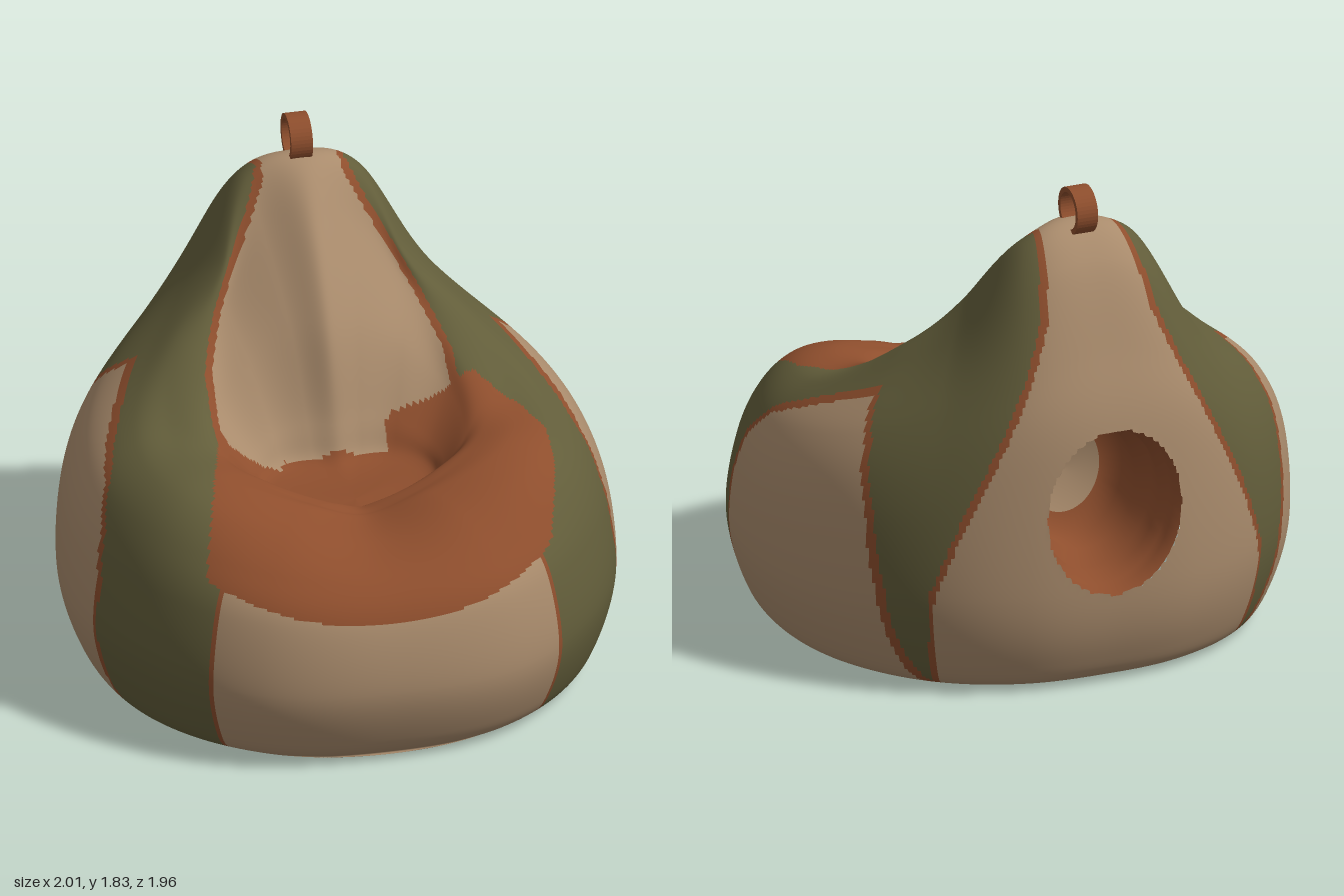
import * as THREE from 'three';

const flat = (name, color) => {
  const m = new THREE.MeshStandardMaterial({ color });
  m.name = name;
  return m;
};
const TAN = 0, GREEN = 1, RUST = 2;

// Meridian profiles [radius, height], front to back, at these angles:
// widest side, shoulder, rim (5th point), then down the inside
const angles = [0, 30, 60, 90, 120, 142, 162, 180];
const HALF = angles.length - 1;
const profiles = [
  [[.93, .32], [.88, .57], [.77, .70], [.59, .76], [.42, .775], [.33, .775], [.20, .775], [.10, .77]],
  [[.97, .32], [.92, .60], [.81, .74], [.66, .83], [.50, .86], [.38, .84], [.22, .81], [.12, .785]],
  [[.99, .35], [.95, .62], [.87, .80], [.76, .91], [.62, .95], [.46, .92], [.30, .86], [.20, .81]],
  [[1.0, .33], [.98, .62], [.89, .83], [.75, .95], [.62, .98], [.52, .97], [.42, .90], [.32, .82]],
  [[1.04, .35], [1.02, .70], [.92, .93], [.72, 1.10], [.60, 1.17], [.52, 1.12], [.48, .98], [.38, .83]],
  [[1.06, .38], [1.04, .76], [.93, 1.05], [.72, 1.27], [.56, 1.37], [.54, 1.27], [.46, 1.10], [.37, .88]],
  [[1.05, .38], [1.035, .92], [.96, 1.22], [.82, 1.52], [.66, 1.64], [.55, 1.48], [.40, 1.20], [.32, .90]],
  [[1.03, .38], [1.025, .95], [.93, 1.30], [.80, 1.60], [.62, 1.705], [.46, 1.53], [.33, 1.22], [.28, .90]],
].map(p => {
  // Flat base with a rounded edge below, seat hollow at the end
  const side = p[0][0], low = p[7][0];
  return [[0, .012], [.72, .012], [side * .845, .015], [side * .932, .1], ...p, [low * .8, .768], [0, .765]];
});
const RIM = 8, LAST = 13;
// The meridians turn around an axis that moves forward inside the seat
const Z0 = 0.05;
const axisZ = j => (j <= RIM ? Z0 : [.1, .2, .27, .3, .3][j - RIM - 1]);

const spline = (a, b, c, d, t) =>
  b + .5 * t * (c - a + t * (2 * a - 5 * b + 4 * c - d + t * (3 * (b - c) + d - a)));

// Piecewise linear lookup in [input, output] pairs
const lookup = (table, v) => {
  if (v <= table[0][0]) return table[0][1];
  for (let i = 1; i < table.length; i++) {
    const [a, fa] = table[i - 1], [b, fb] = table[i];
    if (v <= b) return fa + (fb - fa) * (v - a) / (b - a);
  }
  return table[table.length - 1][1];
};

// Mirrored access to the keys, all the way round
const angleKey = i => i > HALF ? 360 - angleKey(2 * HALF - i) : i < 0 ? -angles[-i] : angles[i];
const profileKey = i => {
  i = (i + 2 * HALF) % (2 * HALF);
  return profiles[i > HALF ? 2 * HALF - i : i];
};

// Surface point: u counts keys around, s counts profile points
function place(u, s) {
  const k = Math.floor(u), n = Math.min(Math.floor(s), LAST - 1);
  const along = f => spline(...[n - 1, n, n + 1, n + 2].map(j => f(Math.min(Math.max(j, 0), LAST))), s - n);
  const around = f => spline(f(k - 1), f(k), f(k + 1), f(k + 2), u - k);
  const value = c => around(i => along(j => profileKey(i)[j][c]));
  const t = around(angleKey) * Math.PI / 180, r = Math.max(0, value(0));
  return [r * Math.sin(t), Math.max(.005, value(1)), along(axisZ) + r * Math.cos(t)];
}

// Seam curves: side panel top over z, back panel angle and backrest half width
// over y, seat edges over z
const sideTop = [[-.67, .02], [-.655, .4], [-.6, .7], [-.5, .93], [-.37, 1.06], [-.1, .94], [.1, .85], [.24, .72], [.3, .55]];
const backEdge = [[0, 142], [.4, 142.5], [.7, 149], [1, 157], [1.2, 162], [1.4, 166], [1.6, 167]];
const restEdge = [[.76, .22], [.83, .38], [.95, .45], [1.1, .44], [1.25, .37], [1.4, .29], [1.55, .21], [1.65, .16]];
const seatLeft = [[-.05, .5], [.1, .64], [.25, .7], [.45, .69], [.65, .63]];
const seatRight = [[.08, -.44], [.3, -.5], [.5, -.56], [.7, -.63]];

// Panel number at a surface point
function panel(x, y, z, s) {
  const ax = Math.abs(x), deg = Math.atan2(ax, z - Z0) * 180 / Math.PI;
  if (s < 2) {
    if (deg < 41) return 0;
    if (deg < 71 && Math.hypot(x, z - Z0) > .15) return 1;
    return deg > 142 ? 3 : 2;
  }
  const seatBack = x > .2 ? -.03 : x < -.2 ? .08 : .04;
  if (z > seatBack && y > .6 + .3 * x * x && x < lookup(seatLeft, z) && x > lookup(seatRight, z)) return 4;
  if (s > RIM) return z < .1 && ax < lookup(restEdge, y) ? 3 : 1;
  if (deg < 41) return 0;
  if (deg > lookup(backEdge, y)) return 3;
  return z < .3 && z > -.67 && y < lookup(sideTop, z) ? 2 : 1;
}
const panelColour = [TAN, GREEN, TAN, TAN, RUST];

// Colour at a point: rust piping wherever another panel is close by
function colourAt([x, y, z], s) {
  const own = panel(x, y, z, s);
  for (const w of [-.015, .015]) {
    const near = [panel(x + w, y, z, s), panel(x, y + w, z, s), panel(x, y, z + w, s)];
    if (near.some(n => n !== own)) return RUST;
  }
  return panelColour[own];
}

// Grid closed around u; pick(i, j) gives a material index or -1 for no face
function grid(nu, nv, point, pick) {
  const pos = [], faces = [[], [], []];
  for (let j = 0; j <= nv; j++) for (let i = 0; i < nu; i++) pos.push(...point(i, j));
  for (let j = 0; j < nv; j++) for (let i = 0; i < nu; i++) {
    const m = pick(i, j);
    if (m < 0) continue;
    const i2 = (i + 1) % nu, a = j * nu + i, b = j * nu + i2, c = a + nu, d = b + nu;
    faces[m].push(a, b, d, a, d, c);
  }
  const geo = new THREE.BufferGeometry();
  geo.setAttribute('position', new THREE.Float32BufferAttribute(pos, 3));
  geo.setIndex(faces.flat());
  let start = 0;
  faces.forEach((f, m) => { geo.addGroup(start, f.length, m); start += f.length; });
  geo.computeVertexNormals();
  return geo;
}

export function createModel() {
  const group = new THREE.Group();
  group.name = 'beanbagChair';
  const materials = [flat('tan fabric', 0xa98b6c), flat('olive fabric', 0x625d3a), flat('rust fabric', 0x8e4e2d)];
  const add = (name, geo, mat) => {
    const mesh = new THREE.Mesh(geo, mat);
    mesh.name = name;
    group.add(mesh);
    return mesh;
  };

  // Round opening in the back
  const hole = { y: .7, rx: .26, ry: .31 };
  const inHole = (x, y) => Math.hypot(x / hole.rx, (y - hole.y) / hole.ry);

  // Padded body, with finer rows where the seams run
  const rows = [0];
  [8, 6, 10, 14, 20, 22, 18, 14, 14, 14, 12, 8, 4].forEach((n, k) => {
    for (let i = 1; i <= n; i++) rows.push(k + i / n);
  });
  const NU = 392, step = 2 * HALF / NU;
  const isBack = (z, s) => z < -.7 && s < RIM && s > 2;
  const body = grid(NU, rows.length - 1, (i, j) => {
    const p = place(i * step, rows[j]), e = inHole(p[0], p[1]);
    if (isBack(p[2], rows[j]) && e < 1 && e > .5) {
      p[0] /= e;
      p[1] = hole.y + (p[1] - hole.y) / e;
    }
    return p;
  }, (i, j) => {
    const s = (rows[j] + rows[j + 1]) / 2, p = place((i + .5) * step, s);
    return isBack(p[2], s) && inHole(p[0], p[1]) < 1 ? -1 : colourAt(p, s);
  });
  add('body', body, materials);

  // Folded lining inside the opening: [scale, depth]
  const folds = [[1.1, .025], [1, .06], [1.03, .12], [.9, .14], [.97, .24], [.78, .28], [.82, .42], [.55, .47], [0, .48]];
  const lining = grid(48, folds.length - 1, (i, j) => {
    const a = -i / 48 * Math.PI * 2, [k, depth] = folds[j];
    const x = hole.rx * k * Math.cos(a), y = hole.y + hole.ry * k * Math.sin(a);
    return [x, y, -.972 + .25 * x * x + depth];
  }, (i, j) => (j === folds.length - 2 ? TAN : RUST));
  add('backOpeningLining', lining, materials);

  // Carrying loop on the tip
  const ring = new THREE.Shape().absarc(0, 0, .088, 0, Math.PI * 2);
  ring.holes.push(new THREE.Path().absarc(0, 0, .069, 0, Math.PI * 2, true));
  const strap = new THREE.ExtrudeGeometry(ring, { depth: .08, bevelEnabled: false, curveSegments: 20 });
  strap.translate(0, 0, -.04).rotateY(Math.PI / 2);
  add('carryLoop', strap, materials[RUST]).position.set(0, 1.752, -.635);

  return group;
}
